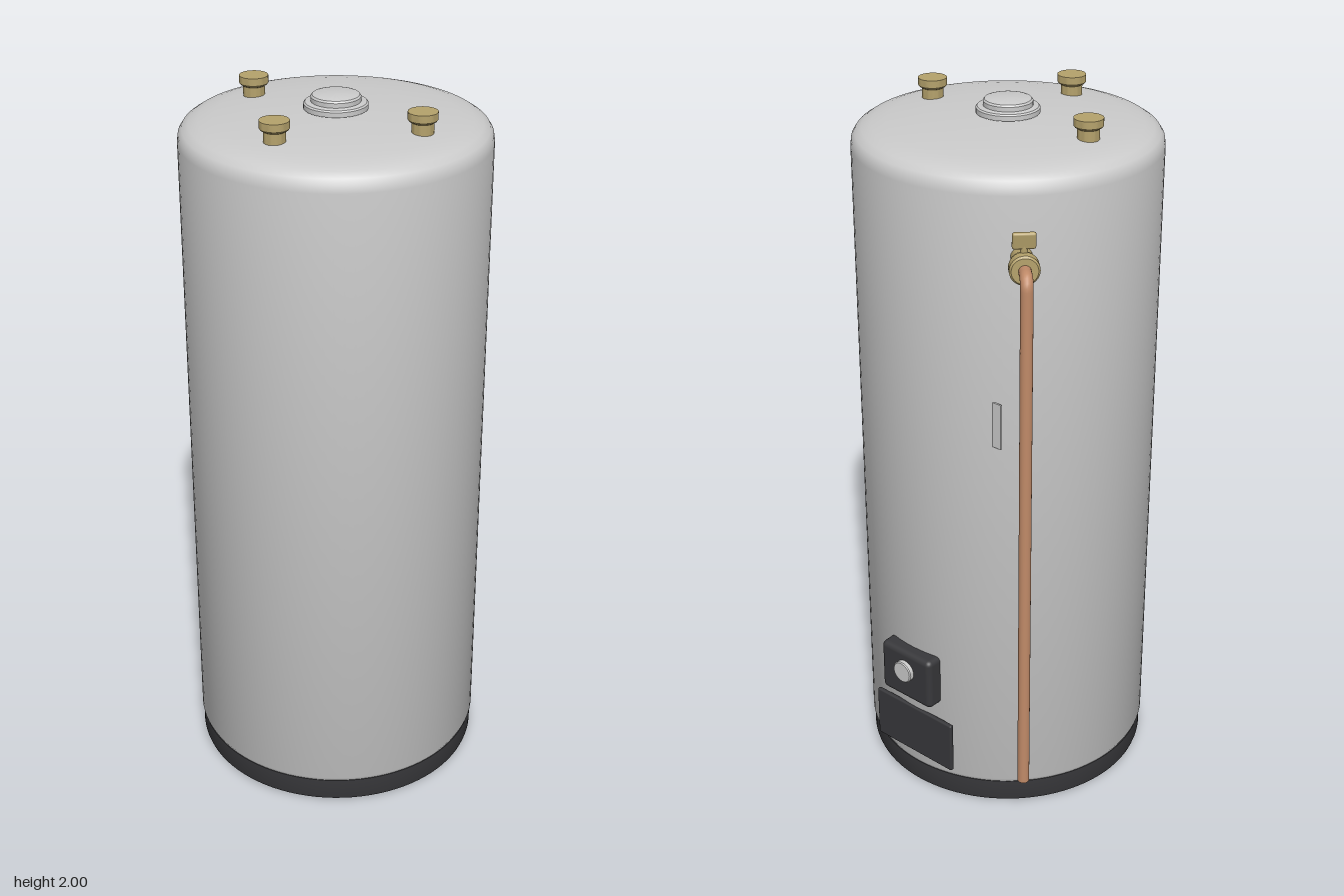
import * as THREE from 'three';
import { toCreasedNormals } from 'three/addons/utils/BufferGeometryUtils.js';
import { RoundedBoxGeometry } from 'three/addons/geometries/RoundedBoxGeometry.js';

const material = (color) => new THREE.MeshStandardMaterial({ color });

export function createModel() {
  const grey = material(0xcccccc);
  const dark = material(0x38383b);
  const brass = material(0xb5a26c);
  const copper = material(0xc08a68);
  const model = new THREE.Group();
  const TANK_Z = 0.025;

  function add(parent, name, geometry, mat, x = 0, y = 0, z = 0) {
    const mesh = new THREE.Mesh(geometry, mat);
    mesh.name = name;
    mesh.position.set(x, y, z);
    parent.add(mesh);
    return mesh;
  }
  // Turned part: [radius, height] pairs, running up the outside
  function turned(profile, segments = 48) {
    const points = profile.map(([r, y]) => new THREE.Vector2(r, y));
    return toCreasedNormals(new THREE.LatheGeometry(points, segments), 0.6);
  }

  // Tank: concave underside, straight wall, rounded shoulder, shallow dome
  add(model, 'tank', turned([
    [0, 0.12], [0.13, 0.113], [0.26, 0.09], [0.37, 0.055], [0.405, 0.06],
    [0.41, 0.072], [0.415, 0.082], [0.415, 1.88], [0.412, 1.9], [0.403, 1.914],
    [0.385, 1.926], [0.36, 1.934], [0.32, 1.941], [0.22, 1.949], [0.1, 1.955], [0, 1.956],
  ], 96), grey, 0, 0, TANK_Z);

  // Open base ring
  add(model, 'baseRing', turned([
    [0.365, 0.07], [0.365, 0.012], [0.369, 0.003], [0.377, 0], [0.4, 0],
    [0.408, 0.003], [0.411, 0.012], [0.411, 0.07], [0.365, 0.07],
  ], 96), dark, 0, 0, TANK_Z);

  // Stepped flue cap
  add(model, 'flueCap', turned([
    [0.07, 1.945], [0.07, 1.96], [0.085, 1.96], [0.085, 1.973], [0.081, 1.977], [0.07, 1.977],
    [0.066, 1.979], [0.066, 1.991], [0.062, 1.996], [0.055, 1.998], [0, 1.998],
  ]), grey, 0, 0, TANK_Z);

  // Three pipe fittings on the dome
  const fitting = turned([
    [0.029, 1.93], [0.029, 1.972], [0.036, 1.976], [0.039, 1.98], [0.039, 2], [0, 2],
  ], 32);
  [[-0.267, 0], [0.267, 0], [0, 0.267]].forEach(([x, z]) =>
    add(model, 'pipeFitting', fitting, brass, x, 0, TANK_Z + z));

  // Relief valve: local +z points outward from the tank wall
  const valve = new THREE.Group();
  valve.name = 'reliefValve';
  valve.position.set(0, 1.72, TANK_Z);
  valve.rotation.y = Math.PI * 1.25;
  model.add(valve);

  const body = turned([
    [0, 0.38], [0.028, 0.38], [0.028, 0.455], [0.035, 0.462], [0.035, 0.475],
    [0.039, 0.477], [0.039, 0.503], [0.034, 0.508], [0, 0.508],
  ], 32);
  body.rotateX(Math.PI / 2);
  add(valve, 'valveBody', body, brass);
  add(valve, 'valveStem', new THREE.CylinderGeometry(0.01, 0.01, 0.04, 16), brass, 0, 0.04, 0.475);
  const lever = add(valve, 'valveLever', new RoundedBoxGeometry(0.06, 0.045, 0.014, 2, 0.006),
    brass, 0, 0.07, 0.48);
  lever.rotation.x = 0.15;

  // Discharge pipe: short outlet, elbow, long drop
  const R = 0.56, bend = 0.03, r = 0.0165;
  const path = new THREE.CurvePath();
  const drop = new THREE.Vector3(0, -1.52, R);
  path.add(new THREE.LineCurve3(new THREE.Vector3(0, 0, 0.49), new THREE.Vector3(0, 0, R - bend)));
  path.add(new THREE.QuadraticBezierCurve3(new THREE.Vector3(0, 0, R - bend),
    new THREE.Vector3(0, 0, R), new THREE.Vector3(0, -bend, R)));
  path.add(new THREE.LineCurve3(new THREE.Vector3(0, -bend, R), drop));
  add(valve, 'dischargePipe', new THREE.TubeGeometry(path, 200, r, 20), copper);
  add(valve, 'pipeEnd', new THREE.CylinderGeometry(r, r, 0.004, 20), copper, 0, drop.y, R);

  // Thin tag on the wall beside the pipe
  add(model, 'wallTag', new THREE.BoxGeometry(0.045, 0.13, 0.005), grey, -0.243, 1.25, -0.313);

  // Control box with round dial, and access plate below it
  add(model, 'controlBox', new RoundedBoxGeometry(0.187, 0.16, 0.06, 3, 0.016), dark, 0, 0.4, -0.396);
  const dial = turned([
    [0, 0], [0.033, 0], [0.033, 0.023], [0.03, 0.026], [0, 0.026],
  ], 32);
  dial.rotateX(-Math.PI / 2);
  add(model, 'controlDial', dial, grey, 0, 0.418, -0.415);
  add(model, 'accessPlate', new RoundedBoxGeometry(0.29, 0.16, 0.014, 2, 0.005), dark, 0, 0.19, -0.39);

  return model;
}
